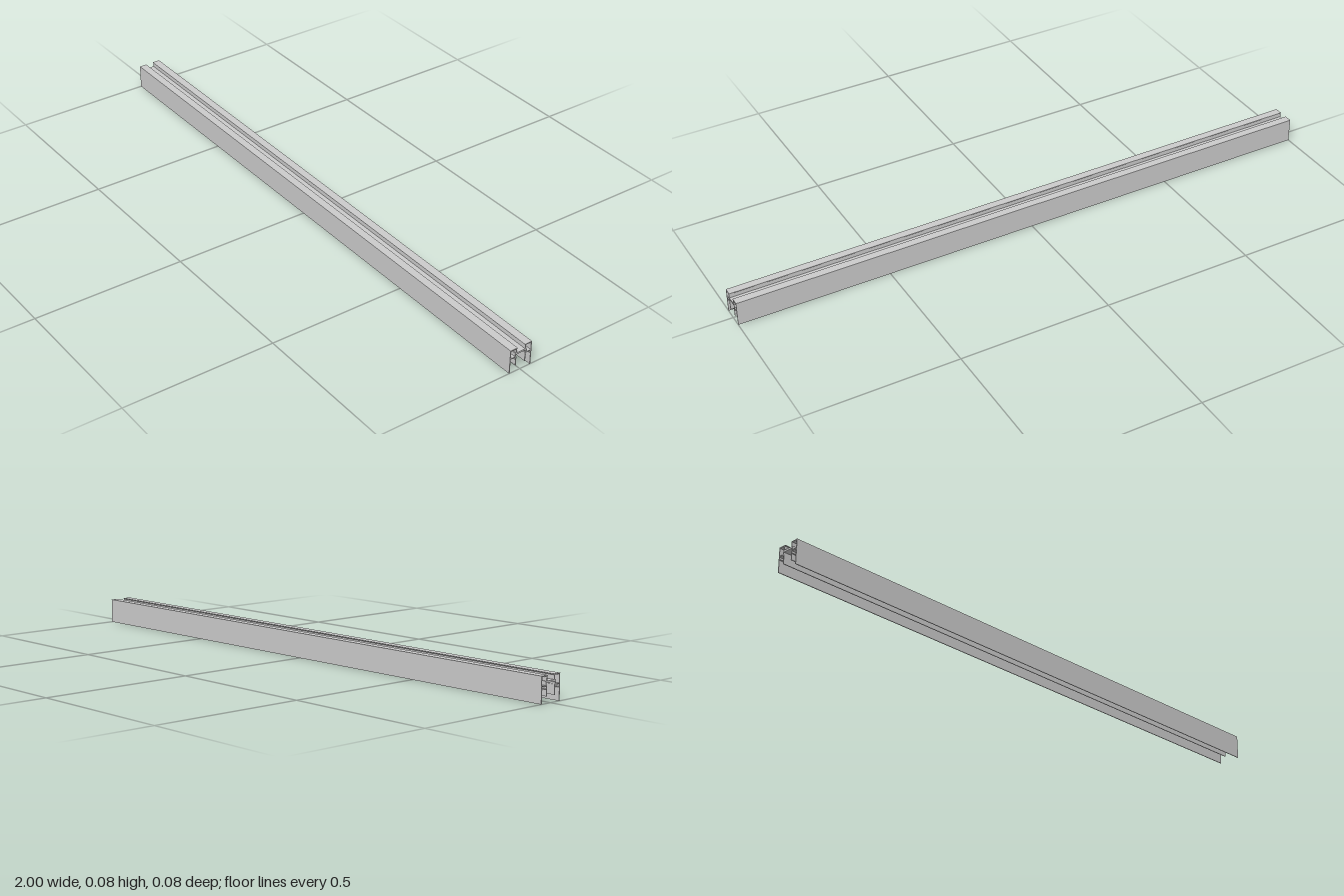
import * as THREE from 'three';

const LENGTH = 2;

// Half of the rail's cross-section as [z, y], from the web's underside round to its top
const HALF = [
  [0.018, 0.058], [0.018, 0.05], [0.016, 0.05],
  // inner leg with its small clip ridge
  [0.016, 0.02], [0.0185, 0.02], [0.0185, 0.039], [0.02, 0.041], [0.0185, 0.042], [0.0185, 0.0485],
  // outer wall with the facing ridge
  [0.0368, 0.0485], [0.0368, 0.042], [0.0348, 0.041], [0.0368, 0.039], [0.0368, 0], [0.0393, 0],
  // top flange and its lip
  [0.0393, 0.08], [0.0135, 0.08], [0.0135, 0.0785], [0.0155, 0.0765], [0.0155, 0.0635],
];

// Closed chamber beside the slot
const CHAMBER = [
  [0.021, 0.0515], [0.0368, 0.0515], [0.0368, 0.077],
  [0.018, 0.077], [0.018, 0.0635], [0.021, 0.0635],
];

const mirror = (points) => points.map(([z, y]) => [-z, y]).reverse();
const toVectors = (points) => points.map(([z, y]) => new THREE.Vector2(z, y));

export function createModel() {
  const group = new THREE.Group();
  group.name = 'extrudedRail';

  // Mirrored section with two hollow chambers, drawn out along x
  const section = new THREE.Shape(toVectors([...HALF, ...mirror(HALF)]));
  for (const hole of [CHAMBER, mirror(CHAMBER)]) {
    section.holes.push(new THREE.Path(toVectors(hole)));
  }
  const geometry = new THREE.ExtrudeGeometry(section, { depth: LENGTH, bevelEnabled: false });
  geometry.translate(0, 0, -LENGTH / 2);
  geometry.rotateY(Math.PI / 2);

  const rail = new THREE.Mesh(geometry, new THREE.MeshStandardMaterial({ color: 0xcccccc }));
  rail.name = 'railProfile';
  group.add(rail);
  return group;
}
